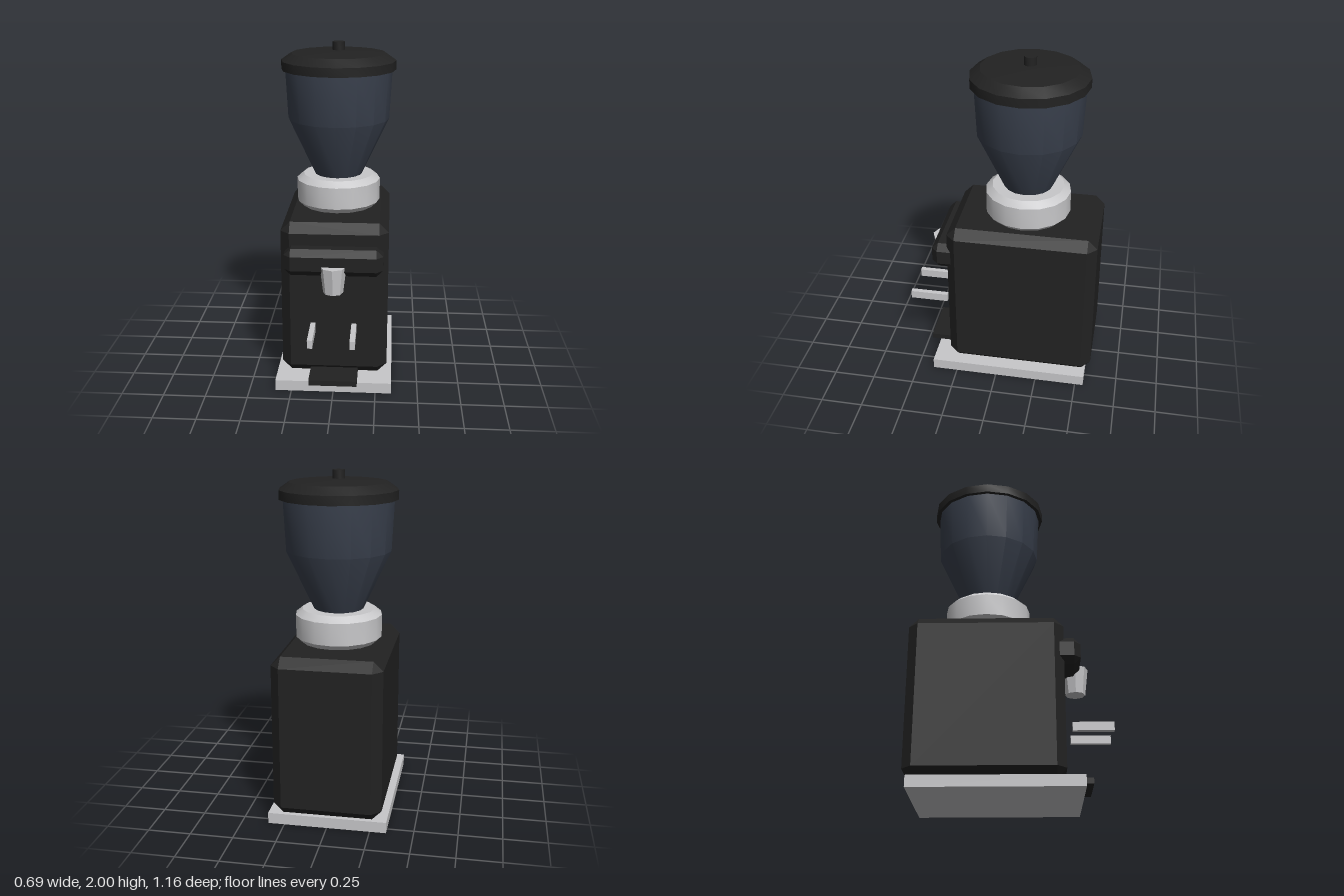
import * as THREE from 'three';
import { toCreasedNormals } from 'three/addons/utils/BufferGeometryUtils.js';
import { ConvexGeometry } from 'three/addons/geometries/ConvexGeometry.js';

const material = (name, color) => {
  const m = new THREE.MeshStandardMaterial({ color });
  m.name = name;
  return m;
};

// Box between two corners with every edge cut at 45 degrees
function chamferedBox([x0, y0, z0], [x1, y1, z1], c) {
  const half = new THREE.Vector3(x1 - x0, y1 - y0, z1 - z0).multiplyScalar(0.5);
  const points = [];
  for (const sx of [-1, 1]) for (const sy of [-1, 1]) for (const sz of [-1, 1]) {
    for (const [cx, cy, cz] of [[0, c, c], [c, 0, c], [c, c, 0]]) {
      points.push(new THREE.Vector3(sx * (half.x - cx), sy * (half.y - cy), sz * (half.z - cz)));
    }
  }
  return new ConvexGeometry(points).translate((x0 + x1) / 2, (y0 + y1) / 2, (z0 + z1) / 2);
}

// Plain box between two corners
function box([x0, y0, z0], [x1, y1, z1]) {
  return new THREE.BoxGeometry(x1 - x0, y1 - y0, z1 - z0)
    .translate((x0 + x1) / 2, (y0 + y1) / 2, (z0 + z1) / 2);
}

// Turned part on the hopper axis, smooth around and sharp at the rims
function turned(profile) {
  const points = profile.map(([r, y]) => new THREE.Vector2(r, y));
  const g = new THREE.LatheGeometry(points, 16).translate(0, 0, -0.14);
  return toCreasedNormals(g, 0.45);
}

export function createModel() {
  const black = material('black casing', 0x222222);
  const silver = material('silver metal', 0xc8c8ca);
  const smoke = material('smoked hopper', 0x3a414e);

  const model = new THREE.Group();
  model.name = 'coffeeGrinder';
  const add = (name, geometry, mat) => {
    const mesh = new THREE.Mesh(geometry, mat);
    mesh.name = name;
    model.add(mesh);
  };

  // Base, casing and drip tray
  add('basePlate', box([-0.345, 0, -0.55], [0.345, 0.065, 0.4]), silver);
  add('body', chamferedBox([-0.315, 0.068, -0.582], [0.315, 1.015, 0.305], 0.055), black);
  add('tray', box([-0.142, 0.069, 0.15], [0.142, 0.102, 0.455]), black);

  // Dispensing head and tapered spout
  add('head', chamferedBox([-0.285, 0.73, 0.2], [0.285, 0.89, 0.4], 0.038), black);
  const spout = toCreasedNormals(new THREE.CylinderGeometry(0.077, 0.058, 0.16, 8), 0.3);
  add('spout', spout.translate(0, 0.715, 0.377), silver);

  // Fork arms that hold the filter handle
  for (const [name, x] of [['leftForkArm', 0.12], ['rightForkArm', -0.12]]) {
    add(name, box([x - 0.015, 0.375, 0.348], [x + 0.015, 0.425, 0.582]), silver);
  }

  // Collar, bean hopper, lid and knob
  add('collar', turned([[0, 1.015], [0.22, 1.015], [0.253, 1.047], [0.253, 1.177], [0.213, 1.21], [0, 1.21]]), silver);
  add('hopper', turned([[0.14, 1.2], [0.303, 1.55], [0.318, 1.845]]), smoke);
  add('lid', turned([[0, 1.84], [0.34, 1.84], [0.34, 1.893], [0.28, 1.935], [0, 1.954]]), black);
  add('knob', turned([[0.036, 1.94], [0.036, 2], [0, 2]]), black);

  return model;
}
